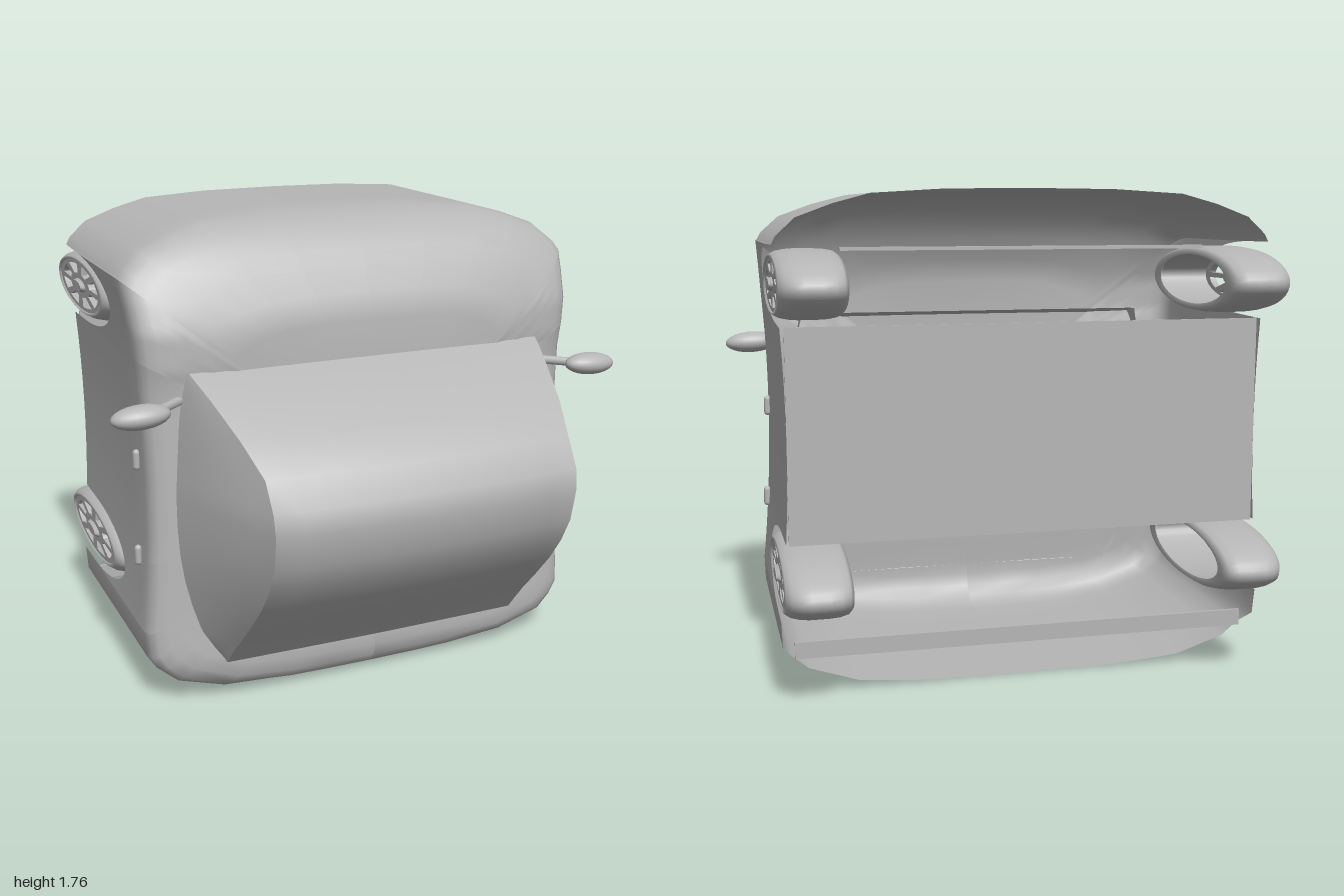
import * as THREE from 'three';

const paint = new THREE.MeshStandardMaterial({ color: 0xb6b6b6, side: THREE.DoubleSide });
paint.name = 'grey paint';

function add(parent, geometry, name) {
  const m = new THREE.Mesh(geometry, paint);
  m.name = name;
  parent.add(m);
  return m;
}

// Surface from rows of points: fn(i, j) -> [x, y, z]
function grid(nu, nv, fn) {
  const pos = [], idx = [];
  for (let j = 0; j <= nv; j++) for (let i = 0; i <= nu; i++) pos.push(...fn(i, j));
  const w = nu + 1;
  for (let j = 0; j < nv; j++) for (let i = 0; i < nu; i++) {
    const a = j * w + i;
    idx.push(a, a + 1, a + w, a + 1, a + w + 1, a + w);
  }
  const g = new THREE.BufferGeometry();
  g.setAttribute('position', new THREE.Float32BufferAttribute(pos, 3));
  g.setIndex(idx);
  g.computeVertexNormals();
  return g;
}

// Linear lookup in [key, value] pairs
function lookup(table, t) {
  for (let i = 1; i < table.length; i++) {
    const [a, va] = table[i - 1], [b, vb] = table[i];
    if (t <= b) return va + (vb - va) * Math.max(0, (t - a) / (b - a));
  }
  return table[table.length - 1][1];
}

const WHEEL_Y = [0.43, 1.445], WHEEL_Z = -0.46;
const ARCH_Y = 0.135, ARCH_Z = 0.455, CENTRE_Y = 0.85;
const sideX = y => 0.845 + 0.033 * ((y - 0.9) / 0.62) ** 2;

// Front skin height along the body
const skin = [[0, 0.33], [0.04, 0.38], [0.1, 0.41], [0.2, 0.41], [0.3, 0.4], [1.2, 0.36], [1.27, 0.375],
  [1.4, 0.37], [1.5, 0.33], [1.6, 0.28], [1.7, 0.2], [1.75, 0.12], [1.77, 0]];
const skinZ = (x, y) => lookup(skin, y) - 0.05 * Math.abs(x / 0.88) ** 4;

// Body outline as [x, y, open edge z], with the wheel arches cut into the edge
function outline() {
  const half = [[0, 0.01, -0.52], [0.2, 0.012, -0.52], [0.35, 0.016, -0.53], [0.6, 0.04, -0.54],
    [0.78, 0.1, -0.54], [0.84, 0.15, -0.54], [0.873, 0.2, -0.6], [sideX(0.293), 0.293, -0.61]];
  const arch = c => {
    for (let i = 0; i <= 20; i++) {
      const a = Math.PI * (1 - i / 20), y = c + ARCH_Y * Math.cos(a);
      half.push([sideX(y), y, WHEEL_Z + ARCH_Z * Math.sin(a)]);
    }
  };
  arch(WHEEL_Y[0]);
  for (let i = 0; i <= 8; i++) {
    const y = 0.567 + (1.308 - 0.567) * i / 8;
    half.push([sideX(y), y, -0.62]);
  }
  arch(WHEEL_Y[1]);
  half.push([0.88, 1.582, -0.62], [0.865, 1.61, -0.62], [0.8, 1.67, -0.62], [0.68, 1.715, -0.62],
    [0.55, 1.75, -0.62], [0.3, 1.765, -0.62], [0, 1.768, -0.62]);
  const mirror = half.slice(0, -1).reverse().map(([x, y, z]) => [-x, y, z]);
  return half.concat(mirror);
}

function bodyShell() {
  const loop = outline(), walls = 6;
  // [inset scale, drop below the skin] for the rounded shoulder and the front face
  const rows = [[0.99, 0.03], [0.965, 0.01], [0.92, 0], [0.86, 0], [0.8, 0], [0.7, 0], [0.6, 0], [0.3, 0], [0.001, 0]];
  return grid(loop.length - 1, walls + rows.length, (i, j) => {
    const [x, y, low] = loop[i];
    if (j <= walls) {
      const top = skinZ(x, y) - 0.07;
      return [x, y, low + (top - low) * j / walls];
    }
    const [s, drop] = rows[j - walls - 1];
    const px = x * s, py = CENTRE_Y + (y - CENTRE_Y) * s;
    return [px, py, skinZ(px, py) - drop];
  });
}

// Cabin: [y, roof z, roof edge x, base x]
const cabin = [[0.17, 0.41, 0.6, 0.605], [0.23, 0.465, 0.598, 0.65], [0.3, 0.535, 0.59, 0.69], [0.4, 0.64, 0.583, 0.72],
  [0.5, 0.735, 0.578, 0.742], [0.6, 0.81, 0.575, 0.755], [0.7, 0.862, 0.575, 0.76], [0.82, 0.885, 0.577, 0.76],
  [0.9, 0.873, 0.58, 0.755], [1.0, 0.81, 0.583, 0.748], [1.1, 0.685, 0.62, 0.74], [1.2, 0.505, 0.663, 0.725],
  [1.25, 0.4, 0.688, 0.715], [1.28, 0.33, 0.7, 0.71]];

function addCabin(parent) {
  const n = cabin.length - 1;
  const edgeDrop = z => 0.03 * Math.min(1, (z - 0.3) / 0.4);
  add(parent, grid(12, n, (i, j) => {
    const [y, z, ex] = cabin[j], u = i / 6 - 1;
    return [u * ex, y, z - edgeDrop(z) * u * u];
  }), 'cabinRoof');
  for (const s of [1, -1]) {
    add(parent, grid(5, n, (i, j) => {
      const [y, z, ex, bx] = cabin[j], t = i / 5;
      const top = z - edgeDrop(z);
      const base = Math.min(top, 0.4 - 0.08 * (y - 0.17) / 1.11) - 0.02;
      return [s * (ex + (bx - ex) * t + 0.012 * Math.sin(Math.PI * t) * (top - base) / 0.5), y, top + (base - top) * t];
    }), s > 0 ? 'leftCabinSide' : 'rightCabinSide');
  }
}

// Wheel with unit radius, axle along x, outer face at +x
function makeWheel() {
  const wheel = new THREE.Group();
  const profile = [[0.74, -0.11], [0.86, -0.115], [0.94, -0.1], [0.985, -0.07], [1, -0.03], [1, 0.03], [0.98, 0.06],
    [0.93, 0.09], [0.85, 0.108], [0.79, 0.113], [0.76, 0.1]].map(p => new THREE.Vector2(...p));
  add(wheel, new THREE.LatheGeometry(profile, 48).rotateZ(-Math.PI / 2), 'tyre');
  const barrel = new THREE.CylinderGeometry(0.75, 0.75, 0.21, 48, 1, true).rotateZ(-Math.PI / 2);
  add(wheel, barrel, 'rimBarrel');

  const face = new THREE.Shape().absarc(0, 0, 0.77, 0, Math.PI * 2);
  for (let k = 0; k < 8; k++) {
    const a = (k + 0.5) * Math.PI / 4, hole = new THREE.Path();
    const w0 = 0.2, w1 = 0.27;
    hole.absarc(0, 0, 0.66, a - w1, a + w1, false);
    hole.absarc(0, 0, 0.36, a + w0, a - w0, true);
    hole.closePath();
    face.holes.push(hole);
  }
  const disc = new THREE.ExtrudeGeometry(face, { depth: 0.025, bevelEnabled: false, curveSegments: 24 });
  add(wheel, disc.rotateY(Math.PI / 2).translate(0.08, 0, 0), 'rimFace');
  add(wheel, new THREE.CylinderGeometry(0.16, 0.22, 0.02, 24).rotateZ(-Math.PI / 2).translate(0.11, 0, 0), 'hubCap');
  return wheel;
}

export function createModel() {
  const model = new THREE.Group();
  model.name = 'car';

  add(model, bodyShell(), 'bodyShell');
  addCabin(model);

  // Flat floor between the wheels, and cross strips behind the bumpers
  const box = (name, w, h, d, x, y, z) => add(model, new THREE.BoxGeometry(w, h, d).translate(x, y, z), name);
  box('floorPanel', 1.69, 0.745, 0.006, 0, 0.9375, -0.617);
  box('topCrossBar', 1.3, 0.012, 0.02, 0, 1.565, -0.56);
  box('bottomBumperStrip', 1.66, 0.06, 0.012, 0, 0.18, -0.575);

  // Wheels
  for (const y of WHEEL_Y) for (const s of [1, -1]) {
    const wheel = makeWheel();
    wheel.name = (s > 0 ? 'left' : 'right') + (y < 1 ? 'Lower' : 'Upper') + 'Wheel';
    wheel.position.set(s * 0.765, y, WHEEL_Z);
    wheel.rotation.y = s > 0 ? 0 : Math.PI;
    wheel.scale.set(1, 0.12, 0.42);
    model.add(wheel);
  }

  // Mirrors and door handles
  for (const s of [1, -1]) {
    const side = s > 0 ? 'left' : 'right';
    const shell = add(model, new THREE.SphereGeometry(1, 24, 16), side + 'Mirror');
    shell.scale.set(0.105, 0.042, 0.056);
    shell.position.set(s * 0.895, 1.16, 0.44);
    shell.rotation.z = s * -0.05;
    const stem = new THREE.LineCurve3(new THREE.Vector3(s * 0.7, 1.17, 0.31), new THREE.Vector3(s * 0.85, 1.165, 0.43));
    add(model, new THREE.TubeGeometry(stem, 1, 0.017, 8), side + 'MirrorStem');
    for (const y of [0.565, 0.93]) {
      const handle = add(model, new THREE.CapsuleGeometry(0.014, 0.05, 4, 10), side + 'DoorHandle');
      handle.position.set(s * (sideX(y) + 0.008), y, 0.2);
    }
  }
  return model;
}
